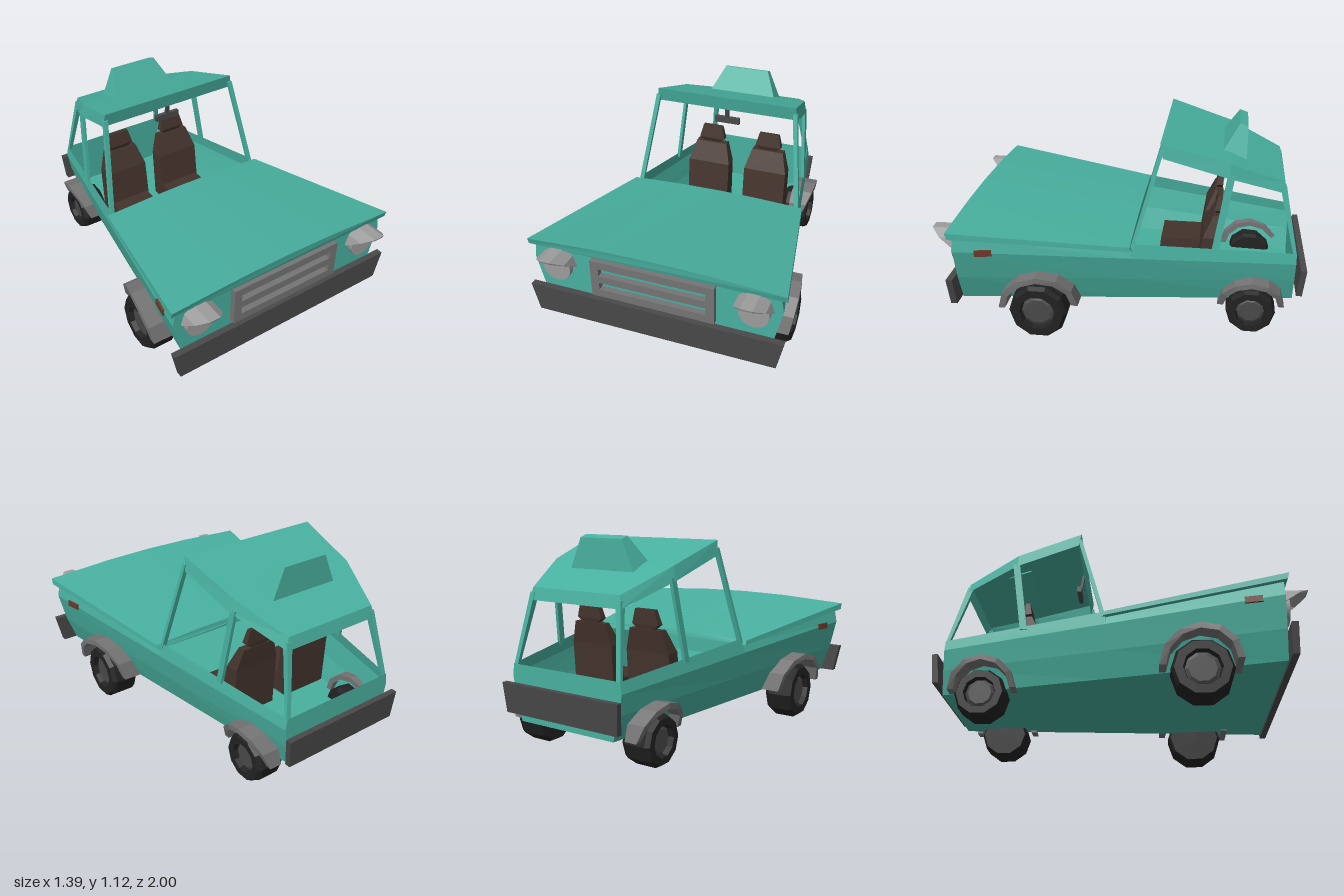
import * as THREE from 'three';

const paint = (name, color) => new THREE.MeshStandardMaterial({ name, color, side: THREE.DoubleSide });

// Flat-faced skin through rows of points; optionally closed round and capped at both ends
function loft(rows, closed = true, caps = true) {
  const out = [];
  const tri = (a, b, c) => out.push(...a, ...b, ...c);
  const n = rows[0].length;
  for (let i = 0; i + 1 < rows.length; i++) {
    for (let j = 0; j < (closed ? n : n - 1); j++) {
      const k = (j + 1) % n, a = rows[i], b = rows[i + 1];
      tri(a[j], a[k], b[k]);
      tri(a[j], b[k], b[j]);
    }
  }
  if (caps) {
    const first = rows[0], last = rows[rows.length - 1];
    for (let j = 1; j + 1 < n; j++) {
      tri(first[0], first[j + 1], first[j]);
      tri(last[0], last[j], last[j + 1]);
    }
  }
  const geo = new THREE.BufferGeometry();
  geo.setAttribute('position', new THREE.Float32BufferAttribute(out, 3));
  geo.computeVertexNormals();
  return geo;
}

// Horizontal rectangle used as a cross-section, counter-clockwise from above
const rect = (x, y, z, w, d) => [
  [x - w / 2, y, z + d / 2], [x + w / 2, y, z + d / 2],
  [x + w / 2, y, z - d / 2], [x - w / 2, y, z - d / 2]];
// Bar from a low point to a high point
const bar = (p, q, w, d) => loft([rect(...p, w, d), rect(...q, w, d)]);
// Full section from its right-hand half, running round through x = 0
const mirrored = (half) => [...half, ...half.slice().reverse().map(([x, y, z]) => [-x, y, z])];

export function createModel() {
  const car = new THREE.Group();
  car.name = 'car';
  const teal = paint('tealPaint', 0x48b09f);
  const grey = paint('greyTrim', 0x747474);
  const dark = paint('darkBumper', 0x494949);
  const rubber = paint('tyreRubber', 0x222222);
  const lamp = paint('lampGrey', 0x9c9c9c);
  const brown = paint('brownSeat', 0x44332c);
  const amber = paint('amberMarker', 0x6b3a2a);

  const add = (name, geo, mat, parent = car) => {
    const mesh = new THREE.Mesh(geo, mat);
    mesh.name = name;
    parent.add(mesh);
    return mesh;
  };

  // Open body tub, tapering to the rear
  const front = [[0.66, 0.615], [0.675, 0.53], [0.635, 0.36], [0.58, 0.21]];
  const rear = [[0.345, 0.47], [0.355, 0.41], [0.335, 0.3], [0.3, 0.17]];
  const bodyRow = (z, topY) => {
    const t = (0.86 - z) / 1.8;
    const half = front.map(([x, y], i) => [x + (rear[i][0] - x) * t, y + (rear[i][1] - y) * t, z]);
    half[0][1] = topY;
    return mirrored(half);
  };
  add('bodyTub', loft([bodyRow(0.86, 0.615), bodyRow(-0.05, 0.515), bodyRow(-0.06, 0.55),
    bodyRow(-0.94, 0.47)], false), teal);

  // Crowned hood slab
  const hoodRow = (z, w, edge, low, rise) => [
    [-w, low, z - 0.01], [0, low + rise, z - 0.01], [w, low, z - 0.01],
    [w, edge, z], [w * 0.43, edge + rise * 0.8, z], [0, edge + rise, z],
    [-w * 0.43, edge + rise * 0.8, z], [-w, edge, z]];
  add('hood', loft([hoodRow(-0.055, 0.525, 0.54, 0.515, 0.016),
    hoodRow(0.885, 0.695, 0.645, 0.61, 0.028)]), teal);

  // Roof skin with side skirts and headers: [top x, y, z, low x, y, z]
  const ribs = [[0.42, 1.09, -0.2, 0.43, 1.01, -0.215],
    [0.385, 0.98, -0.56, 0.4, 0.905, -0.56],
    [0.28, 0.86, -0.85, 0.295, 0.795, -0.865]];
  const roofRows = ribs.map((r) => mirrored([r.slice(3), r.slice(0, 3)]));
  add('roof', loft(roofRows, false, false), teal);
  add('frontHeader', loft([roofRows[0]], false), teal);
  add('rearHeader', loft([roofRows[2]], false), teal);

  // Roof box
  add('roofBox', loft([
    [[-0.205, 0.985, -0.515], [0.205, 0.985, -0.515], [0.205, 0.94, -0.645], [-0.205, 0.94, -0.645]],
    [[-0.135, 1.122, -0.6], [0.135, 1.122, -0.6], [0.135, 1.107, -0.645], [-0.135, 1.107, -0.645]]]), teal);

  // Cabin mirror
  add('mirrorStem', bar([0, 0.94, -0.245], [0, 1.065, -0.225], 0.022, 0.015), dark);
  add('mirror', new THREE.BoxGeometry(0.15, 0.035, 0.025).translate(0, 0.933, -0.245), dark);

  // Grille frame with two slots
  const grille = new THREE.Shape();
  const box = (path, x, y0, y1) => path.moveTo(-x, y0).lineTo(x, y0).lineTo(x, y1).lineTo(-x, y1).closePath();
  box(grille, 0.335, 0.385, 0.6);
  for (const y of [0.43, 0.515]) {
    const slot = new THREE.Path();
    box(slot, 0.29, y, y + 0.042);
    grille.holes.push(slot);
  }
  add('grille', new THREE.ExtrudeGeometry(grille, { depth: 0.035, bevelEnabled: false }).translate(0, 0, 0.858), grey);

  // Bumpers
  add('frontBumper', loft([rect(0, 0.21, 0.885, 1.32, 0.035), rect(0, 0.37, 0.888, 1.39, 0.035)]), dark);
  add('rearBumper', loft([rect(0, 0.22, -0.97, 0.72, 0.032), rect(0, 0.38, -0.984, 0.745, 0.032)]), dark);

  // Wheel: faceted tyre with a recessed hub
  const wheel = (name, x, y, z, r, w, side) => {
    const h = w / 2;
    const profile = [[0, -h], [r * 0.9, -h], [r, -h * 0.7], [r, h * 0.7], [r * 0.9, h], [r * 0.62, h], [r * 0.57, h - 0.03]];
    const group = new THREE.Group();
    group.name = name;
    const lathe = (pts) => {
      const geo = new THREE.LatheGeometry(pts.map((p) => new THREE.Vector2(...p)), 10).toNonIndexed();
      geo.computeVertexNormals();
      return geo;
    };
    add('tyre', lathe(profile), rubber, group);
    add('hub', lathe([[r * 0.57, h - 0.03], [r * 0.45, h - 0.02], [0, h - 0.02]]), dark, group);
    group.rotation.z = -side * Math.PI / 2;
    group.position.set(side * x, y, z);
    car.add(group);
  };

  // Wheel arch swept over the wheel, leaning with the body side
  const arch = (side, z0, y0, rIn, rOut, xIn, xOut, slope, bulge) => {
    const rows = [];
    for (let i = 0; i <= 6; i++) {
      const a = Math.PI * i / 6, c = Math.cos(a), s = Math.sin(a);
      const x = xOut + slope * rOut * c + bulge * s;
      rows.push([[xIn, rIn], [x, rIn], [x, rOut], [xIn, rOut]].map(([px, r]) =>
        [side * px, y0 + r * s * 0.93, z0 + r * c]));
    }
    return loft(rows);
  };

  for (const side of [1, -1]) {
    const tag = side > 0 ? 'left' : 'right';

    // Pillars
    add(tag + 'FrontPillar', bar([side * 0.492, 0.52, -0.065], [side * 0.418, 1.05, -0.208], 0.025, 0.022), teal);
    add(tag + 'MiddlePillar', bar([side * 0.423, 0.49, -0.5], [side * 0.386, 0.92, -0.568], 0.018, 0.038), teal);
    add(tag + 'RearPillar', loft([rect(side * 0.334, 0.46, -0.93, 0.024, 0.018),
      rect(side * 0.277, 0.835, -0.843, 0.03, 0.034)]), teal);

    // Wheels and arches
    wheel(tag + 'FrontWheel', 0.555, 0.165, 0.435, 0.16, 0.16, side);
    wheel(tag + 'RearWheel', 0.352, 0.135, -0.71, 0.135, 0.165, side);
    add(tag + 'FrontArch', arch(side, 0.43, 0.2, 0.175, 0.21, 0.45, 0.62, 0.16, 0.04), grey);
    add(tag + 'RearArch', arch(side, -0.71, 0.165, 0.15, 0.182, 0.33, 0.405, 0.03, 0.06), grey);

    // Headlight and its visor
    add(tag + 'Headlight', new THREE.CylinderGeometry(0.08, 0.08, 0.035, 16).rotateX(Math.PI / 2)
      .translate(side * 0.535, 0.505, 0.872), lamp);
    const visor = [];
    for (let i = 0; i <= 5; i++) {
      const a = Math.PI * i / 5, c = Math.cos(a), s = Math.sin(a);
      const at = (r, z) => [side * 0.53 + r * c, 0.52 + r * s, z];
      const lip = 0.87 + 0.137 * s;
      visor.push([at(0.1, 0.85), at(0.1, lip), at(0.088, lip - 0.004), at(0.088, 0.85)]);
    }
    add(tag + 'HeadlightVisor', loft(visor), lamp);

    // Side marker lamp
    const marker = add(tag + 'SideMarker', new THREE.BoxGeometry(0.02, 0.034, 0.09), amber);
    marker.position.set(side * 0.645, 0.52, 0.705);
    marker.rotation.y = side * 0.176;

    // Seat
    const seat = new THREE.Group();
    seat.name = tag + 'Seat';
    seat.position.x = side * 0.187;
    add('cushion', loft([rect(0, 0.2, -0.31, 0.26, 0.3), rect(0, 0.32, -0.31, 0.25, 0.28)]), brown, seat);
    add('backrest', loft([rect(0, 0.22, -0.44, 0.27, 0.1), rect(0, 0.52, -0.47, 0.27, 0.08),
      rect(0, 0.64, -0.505, 0.2, 0.045)]), brown, seat);
    add('headrest', loft([rect(0, 0.635, -0.51, 0.09, 0.025), rect(0, 0.665, -0.508, 0.165, 0.04),
      rect(0, 0.745, -0.517, 0.125, 0.025)]), brown, seat);
    car.add(seat);
  }
  return car;
}
